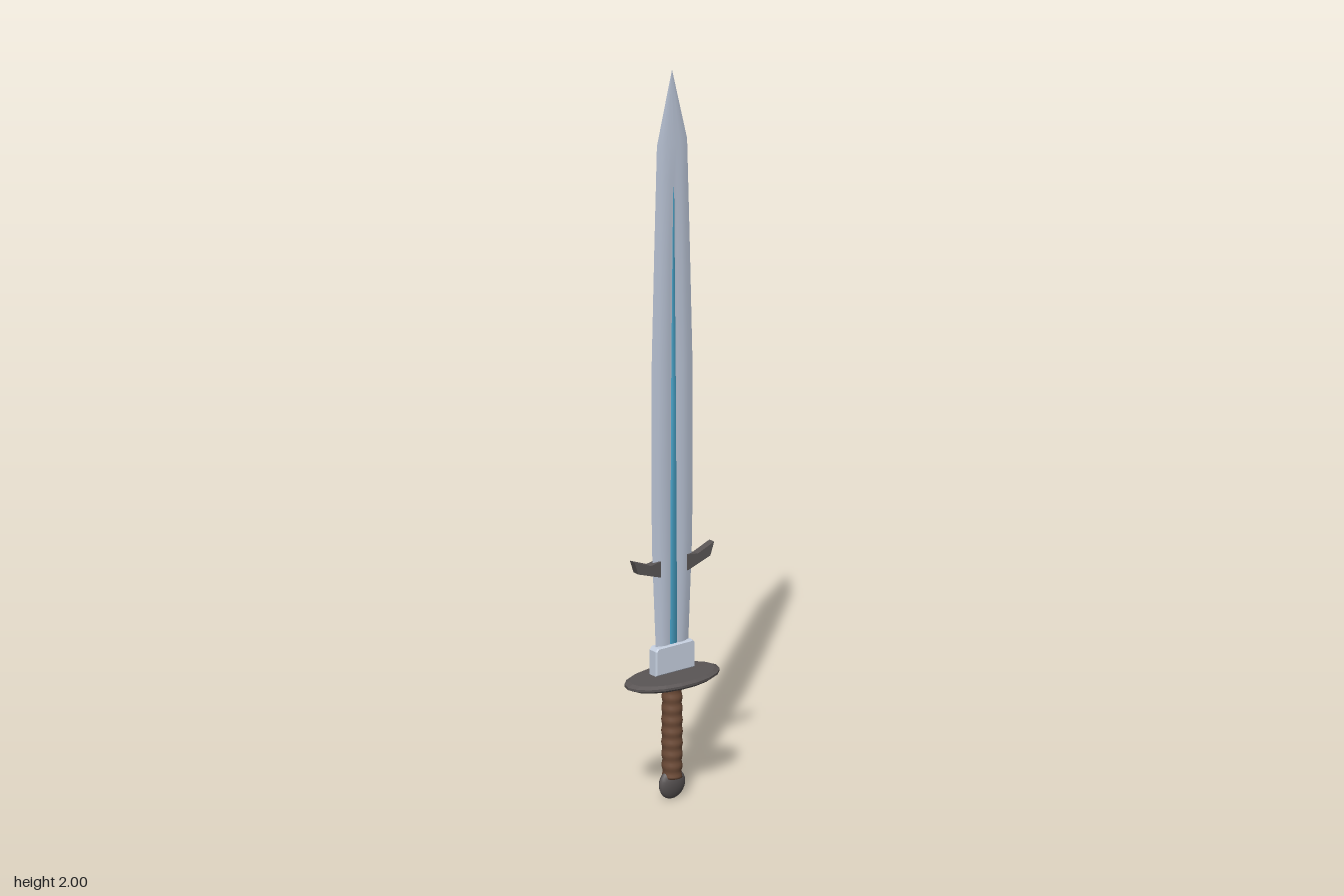
import * as THREE from 'three';

const paint = (color, extra = {}) => {
  const m = new THREE.MeshStandardMaterial(extra);
  m.color.set(color);
  return m;
};

// Skin over cross-sections: every row is a list of [x, y, z] with equal length.
function loft(rows) {
  const n = rows[0].length, index = [];
  for (let r = 0; r < rows.length - 1; r++) {
    for (let i = 0; i < n - 1; i++) {
      const a = r * n + i, b = a + 1, c = a + n, d = c + 1;
      index.push(a, b, d, a, d, c);
    }
  }
  const g = new THREE.BufferGeometry();
  g.setAttribute('position', new THREE.Float32BufferAttribute(rows.flat(2), 3));
  g.setIndex(index);
  g.computeVertexNormals();
  return g;
}

export function createModel() {
  const model = new THREE.Group();
  const steel = paint(0xbcc6d8, { side: THREE.DoubleSide });
  const dark = paint(0x5a5555, { flatShading: true });
  const blue = paint(0x4aa6cc, { side: THREE.DoubleSide });

  const add = (name, geometry, material, parent = model) => {
    const mesh = new THREE.Mesh(geometry, material);
    mesh.name = name;
    parent.add(mesh);
    return mesh;
  };

  // Blade: [height, half width, ridge half thickness, half thickness in the fuller]
  const sections = [
    [0.40, 0.053, 0.009, 0.004], [0.45, 0.054, 0.009, 0.004], [0.70, 0.065, 0.009, 0.004],
    [0.90, 0.067, 0.009, 0.004], [1.20, 0.066, 0.009, 0.004], [1.50, 0.058, 0.008, 0.005],
    [1.70, 0.052, 0.007, 0.007], [1.80, 0.049, 0.006, 0.007], [2.00, 0, 0, 0],
  ];
  const blade = new THREE.Group();
  blade.name = 'blade';
  model.add(blade);
  const bladeRows = sections.map(([y, w, t, c]) => [
    [-w, y, 0], [-0.72 * w, y, 0.7 * t], [-0.45 * w, y, t], [-0.2 * w, y, (t + c) / 2], [0, y, c],
    [0.2 * w, y, (t + c) / 2], [0.45 * w, y, t], [0.72 * w, y, 0.7 * t], [w, y, 0],
  ]);
  const bladeSide = loft(bladeRows);

  // Tapering inlay along the fuller
  const inlaySide = loft([[0.42, 0.011, 0.0075], [1.1, 0.007, 0.0075], [1.68, 0.001, 0.0078]].map(([y, w, z]) => [
    [-w, y, 0], [-w, y, z], [w, y, z], [w, y, 0],
  ]));
  for (const [side, turn] of [['front', 0], ['back', Math.PI]]) {
    add(side + 'BladeFace', bladeSide, steel, blade).rotation.y = turn;
    add(side + 'Inlay', inlaySide, blue, blade).rotation.y = turn;
  }

  // Swept lugs on both edges of the blade
  const lugPoints = [[0.044, 0.618], [0.117, 0.643], [0.129, 0.678], [0.076, 0.657], [0.044, 0.662]];
  for (const [name, s] of [['leftLug', 1], ['rightLug', -1]]) {
    const shape = new THREE.Shape(lugPoints.map(([x, y]) => new THREE.Vector2(s * x, y)));
    const lug = new THREE.ExtrudeGeometry(shape, { depth: 0.02, bevelEnabled: false });
    add(name, lug.translate(0, 0, -0.01), dark);
  }

  // Collar that holds the blade root
  const collarShape = new THREE.Shape([[-0.062, 0.352], [0.062, 0.352], [0.062, 0.418], [0.055, 0.426],
    [-0.055, 0.426], [-0.062, 0.418]].map(([x, y]) => new THREE.Vector2(x, y)));
  const collar = new THREE.ExtrudeGeometry(collarShape, {
    depth: 0.026, bevelThickness: 0.003, bevelSize: 0.003, bevelOffset: -0.002, bevelSegments: 1,
  });
  add('collar', collar.translate(0, 0, -0.013), paint(0xc6d0e0));

  // Oval guard plate with chamfered rims
  const guardProfile = [[0, 0.321], [0.128, 0.322], [0.143, 0.329], [0.143, 0.335], [0.128, 0.341], [0, 0.342]];
  const guard = new THREE.LatheGeometry(guardProfile.map(([x, y]) => new THREE.Vector2(x, y)), 18);
  add('guard', guard.rotateY(Math.PI / 2).scale(1, 1, 0.54), dark);

  // Grip with shallow wrapped ridges
  const gripPoints = [new THREE.Vector2(0, 0.06)];
  const steps = 48;
  for (let i = 0; i <= steps; i++) {
    const t = i / steps;
    const radius = 0.0255 + 0.0015 * Math.sin(Math.PI * t) + 0.0013 * Math.cos(t * Math.PI * 16);
    gripPoints.push(new THREE.Vector2(radius, 0.06 + 0.251 * t));
  }
  gripPoints.push(new THREE.Vector2(0, 0.311));
  add('grip', new THREE.LatheGeometry(gripPoints, 16), paint(0x6e4c38));

  // Flattened round pommel, thinner toward the bottom
  const pommel = new THREE.SphereGeometry(0.041, 16, 12);
  const p = pommel.attributes.position;
  for (let i = 0; i < p.count; i++) {
    p.setZ(i, p.getZ(i) * (0.42 + 3 * p.getY(i)));
  }
  pommel.translate(0, 0.041, 0);
  pommel.computeVertexNormals();
  add('pommel', pommel, paint(0x5a5555));

  return model;
}
